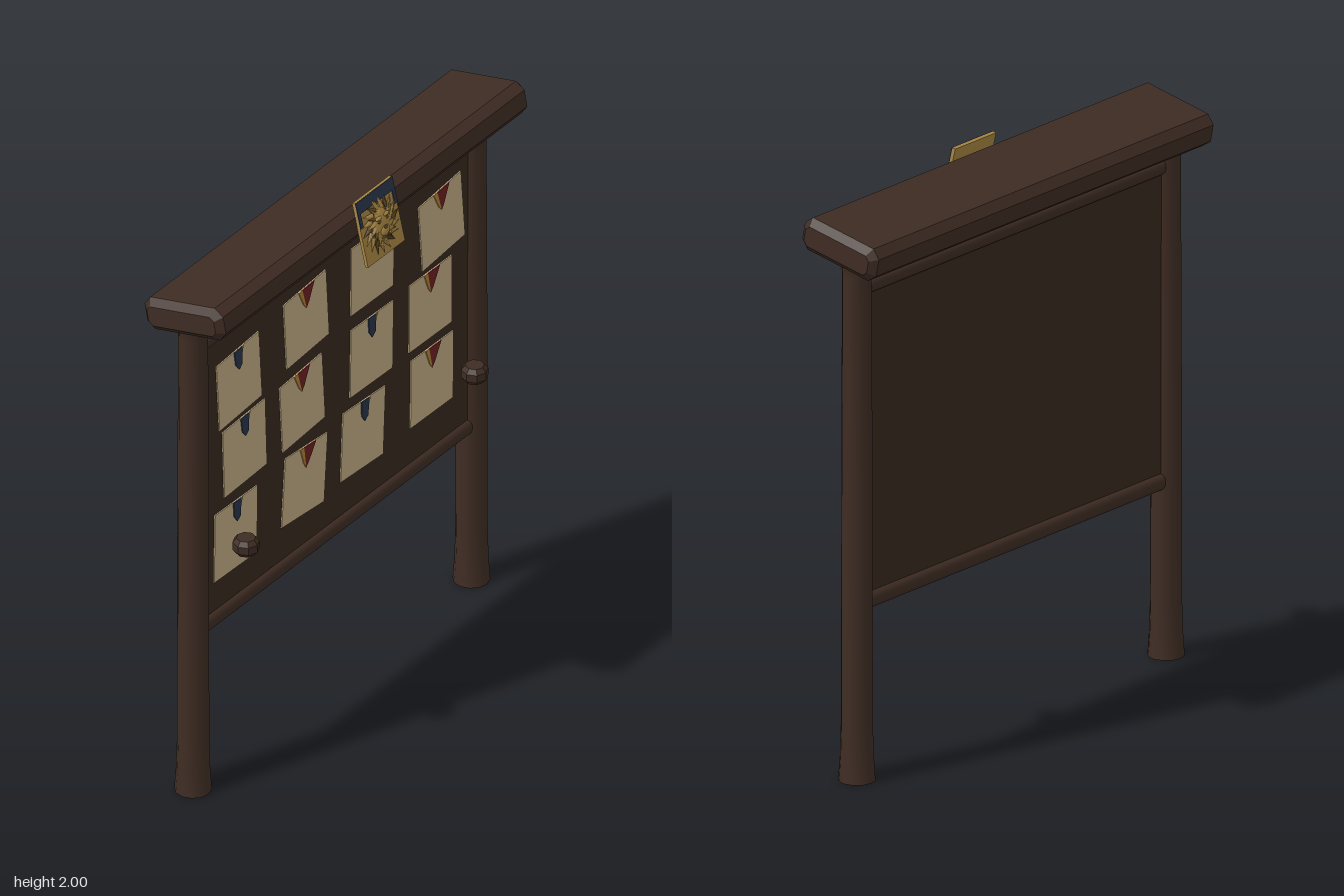
import * as THREE from 'three';
import { RoundedBoxGeometry } from 'three/addons/geometries/RoundedBoxGeometry.js';
import { toCreasedNormals } from 'three/addons/utils/BufferGeometryUtils.js';

const material = (name, color, extra = {}) =>
  new THREE.MeshStandardMaterial({ name, color, ...extra });

const mats = {
  wood: material('dark wood', 0x3e2c23),
  panel: material('panel wood', 0x38281f),
  paper: material('parchment', 0xc0ab82),
  navy: material('navy', 0x29354a),
  red: material('dark red', 0x6c2020),
  amber: material('amber', 0xb08238),
  gold: material('brass', 0xa78642),
  shade: material('aged brass', 0x5a4520),
};

function add(parent, name, geometry, mat, x = 0, y = 0, z = 0) {
  const mesh = new THREE.Mesh(geometry, mat);
  mesh.name = name;
  mesh.position.set(x, y, z);
  parent.add(mesh);
  return mesh;
}

const points = (list) => list.map(([x, y]) => new THREE.Vector2(x, y));
const lathe = (list, sides) =>
  toCreasedNormals(new THREE.LatheGeometry(points(list), sides), 0.6);
const plate = (list, depth) =>
  new THREE.ExtrudeGeometry(new THREE.Shape(points(list)), { depth, bevelEnabled: false });

// Tilted roof beam with chamfered edges all round
function roofGeometry() {
  const w = 0.1625, h = 0.06, c = 0.025, length = 1.78;
  const i = 0.024; // bevel grows the outline by this amount
  const a = w - i, b = h - i, k = c * 0.6;
  const shape = new THREE.Shape(points([
    [-a + k, -b], [a - k, -b], [a, -b + k], [a, b - k],
    [a - k, b], [-a + k, b], [-a, b - k], [-a, -b + k],
  ]));
  const geo = new THREE.ExtrudeGeometry(shape, {
    depth: length - 2 * i, bevelEnabled: true, bevelSize: i, bevelThickness: i, bevelSegments: 1,
  });
  geo.translate(0, 0, -(length / 2 - i));
  geo.rotateY(-Math.PI / 2);
  return geo;
}

// Parchment sheet with a pinned ribbon at its upper edge
function notice(x, y, turn, colour, shift) {
  const group = new THREE.Group();
  group.name = 'notice';
  group.position.set(x, y, -0.017);
  group.rotation.z = turn;
  add(group, 'sheet', new THREE.BoxGeometry(0.244, 0.262, 0.005), mats.paper);
  const top = 0.131;
  if (colour === 'navy') {
    add(group, 'ribbon', plate([[-0.024, top], [-0.018, 0.075], [0, 0.05], [0.018, 0.065], [0.02, top]], 0.004),
      mats.navy, shift, 0, 0.0026);
    add(group, 'ribbonEdge', plate([[0.02, top], [0.018, 0.1], [0.028, top]], 0.004),
      mats.amber, shift, 0, 0.0026);
  } else {
    add(group, 'ribbon', plate([[-0.022, top], [-0.004, 0.05], [0.012, 0.07], [0.046, top]], 0.004),
      mats.red, shift, 0, 0.0026);
    add(group, 'ribbonEdge', plate([[-0.042, top], [-0.018, 0.07], [-0.004, 0.05], [-0.022, top]], 0.004),
      mats.amber, shift, 0, 0.0026);
  }
  return group;
}

// Brass plaque with a generic beast mask in relief
function plaque() {
  const group = new THREE.Group();
  group.name = 'plaque';
  group.position.set(0, 1.882, 0.151);
  group.rotation.x = -0.23;
  add(group, 'plaqueBack', new THREE.BoxGeometry(0.212, 0.238, 0.012), mats.gold);
  add(group, 'plaqueTopBand', new THREE.BoxGeometry(0.212, 0.045, 0.004), mats.navy, 0, 0.096, 0.007);
  for (const s of [-1, 1])
    add(group, 'plaqueSideBand', new THREE.BoxGeometry(0.016, 0.05, 0.004), mats.navy, s * 0.098, 0.049, 0.007);

  // Mane: two rings of alternating tufts
  for (let ring = 0; ring < 2; ring++) {
    const count = 18 - ring * 4;
    for (let i = 0; i < count; i++) {
      const angle = (i + ring * 0.5) / count * Math.PI * 2;
      const r = 0.08 - ring * 0.024;
      const tuft = add(group, 'maneTuft', new THREE.ConeGeometry(0.015, 0.05, 5),
        (i + ring) % 3 === 0 ? mats.shade : mats.gold,
        Math.cos(angle) * r, Math.sin(angle) * r - 0.005, 0.008 + ring * 0.005);
      tuft.rotation.z = angle - Math.PI / 2 + 0.35;
      tuft.scale.z = 0.6;
    }
  }
  const lump = (name, mat, x, y, z, sx, sy, sz) => {
    const mesh = add(group, name, new THREE.SphereGeometry(1, 10, 7), mat, x, y, z);
    mesh.scale.set(sx, sy, sz);
  };
  lump('face', mats.gold, 0, -0.005, 0.01, 0.05, 0.06, 0.016);
  lump('muzzle', mats.gold, 0, -0.026, 0.02, 0.026, 0.02, 0.011);
  lump('mouth', mats.shade, 0, -0.048, 0.018, 0.02, 0.008, 0.007);
  lump('nose', mats.shade, 0, -0.014, 0.028, 0.01, 0.006, 0.004);
  for (const s of [-1, 1]) {
    lump('brow', mats.gold, s * 0.021, 0.024, 0.021, 0.017, 0.007, 0.007);
    lump('eye', mats.shade, s * 0.02, 0.011, 0.022, 0.01, 0.005, 0.004);
  }
  return group;
}

export function createModel() {
  const model = new THREE.Group();
  model.name = 'noticeBoard';

  // Posts with flared feet and heads, and the two floating knobs
  const postProfile = [[0, 0], [0.063, 0], [0.057, 0.09], [0.054, 0.2], [0.053, 1],
    [0.05, 1.78], [0.052, 1.81], [0.062, 1.845], [0, 1.845]];
  const knobProfile = [[0, -0.03], [0.033, -0.03], [0.046, -0.014], [0.046, 0.014], [0.033, 0.03], [0, 0.03]];
  for (const s of [-1, 1]) {
    add(model, 'post', lathe(postProfile, 12), mats.wood, s * 0.8, 0, -0.037);
    add(model, 'knob', lathe(knobProfile, 8), mats.wood, s * 0.657, 0.925, 0.077);
  }

  // Roof beam
  add(model, 'roofBeam', roofGeometry(), mats.wood, 0, 1.885, -0.022).rotation.x = -0.19;

  // Board and its rails
  add(model, 'board', new THREE.BoxGeometry(1.53, 1.12, 0.036), mats.panel, 0, 1.18, -0.037);
  add(model, 'topRail', new RoundedBoxGeometry(1.55, 0.056, 0.07, 3, 0.024), mats.wood, 0, 1.736, -0.037);
  add(model, 'bottomRail', new RoundedBoxGeometry(1.55, 0.062, 0.07, 3, 0.026), mats.wood, 0, 0.626, -0.037);

  // Notices: x, y, turn, ribbon colour, ribbon offset
  const notices = [
    [-0.566, 1.487, 0.07, 'navy', 0], [-0.18, 1.53, 0.07, 'red', 0.003],
    [0.2, 1.54, -0.01, 'navy', 0.003], [0.598, 1.515, 0.09, 'red', 0.003],
    [-0.534, 1.207, 0.04, 'navy', 0.003], [-0.203, 1.215, 0.07, 'red', 0],
    [0.196, 1.22, -0.02, 'navy', -0.003], [0.534, 1.223, -0.01, 'red', 0],
    [-0.585, 0.897, -0.02, 'navy', 0.003], [-0.19, 0.905, -0.08, 'red', 0.003],
    [0.146, 0.913, -0.05, 'navy', 0.003], [0.542, 0.923, -0.01, 'red', 0],
  ];
  for (const n of notices) model.add(notice(...n));

  model.add(plaque());
  return model;
}
